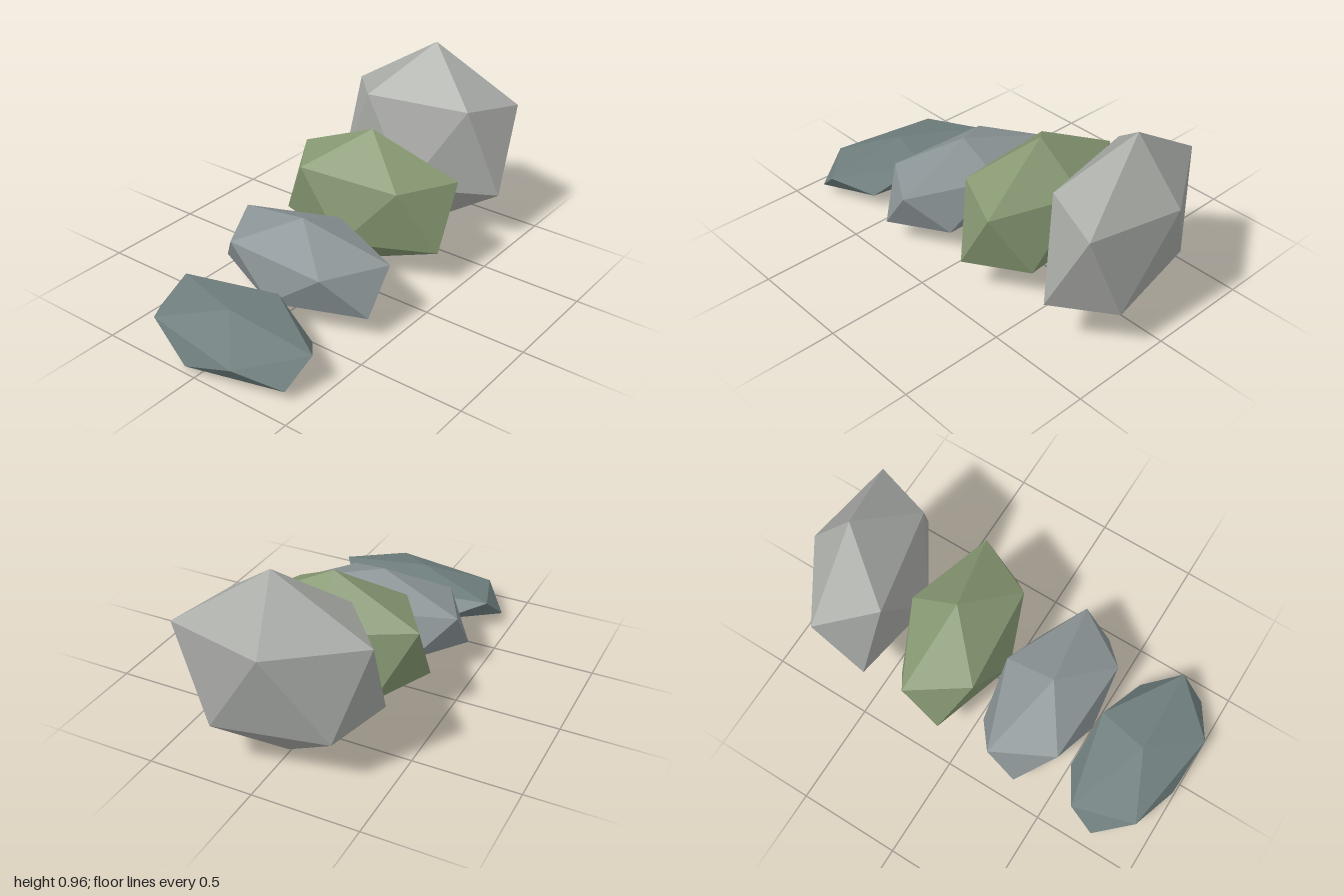
import * as THREE from 'three';

// Each rock is a stretched, slightly leaning twenty-sided solid:
// centre, pole (centre to top), and two axes that span its rings of five points.
const ROCKS = [
  { name: 'flatRock', color: 0x6f7f7e, center: [-0.755, 0.113, 0], pole: [-0.015, 0.11, 0],
    axisA: [0.142, 0.01, -0.405], axisB: [-0.209, -0.032, -0.194] },
  { name: 'smallRock', color: 0x8b9496, center: [-0.26, 0.225, 0], pole: [-0.01, 0.22, 0],
    axisA: [0.093, 0.004, -0.423], axisB: [-0.235, -0.012, -0.148] },
  { name: 'mossyRock', color: 0x869872, center: [0.235, 0.348, 0], pole: [0.012, 0.343, 0],
    axisA: [0.04, -0.001, -0.425], axisB: [-0.252, 0.008, -0.12] },
  { name: 'tallRock', color: 0xa8aaa6, center: [0.727, 0.483, 0], pole: [0.058, 0.477, -0.008],
    axisA: [-0.012, -0.01, -0.428], axisB: [-0.255, 0.029, -0.087] },
];

function rockGeometry({ pole, axisA, axisB }) {
  const top = new THREE.Vector3(...pole);
  const a = new THREE.Vector3(...axisA);
  const b = new THREE.Vector3(...axisB);

  // upper ring of five points; the lower half is its point reflection
  const upper = [];
  for (let k = 0; k < 5; k++) {
    const t = (k * 2 * Math.PI) / 5;
    upper.push(top.clone().multiplyScalar(Math.sqrt(0.2))
      .addScaledVector(a, Math.cos(t)).addScaledVector(b, Math.sin(t)));
  }
  const lower = upper.map((p) => p.clone().negate());
  const bottom = top.clone().negate();
  const U = (k) => upper[k % 5];
  const L = (k) => lower[k % 5];

  // cap, zigzag band and base
  const corners = [];
  for (let k = 0; k < 5; k++) {
    corners.push(
      top, U(k), U(k + 1),
      U(k), L(k + 3), U(k + 1),
      L(k + 3), L(k + 4), U(k + 1),
      bottom, L(k + 4), L(k + 3),
    );
  }
  const geometry = new THREE.BufferGeometry().setFromPoints(corners);
  geometry.computeVertexNormals();
  return geometry;
}

export function createModel() {
  const group = new THREE.Group();
  group.name = 'rocks';
  for (const rock of ROCKS) {
    const material = new THREE.MeshStandardMaterial({ color: rock.color, flatShading: true });
    const mesh = new THREE.Mesh(rockGeometry(rock), material);
    mesh.name = rock.name;
    mesh.position.set(...rock.center);
    group.add(mesh);
  }
  return group;
}
